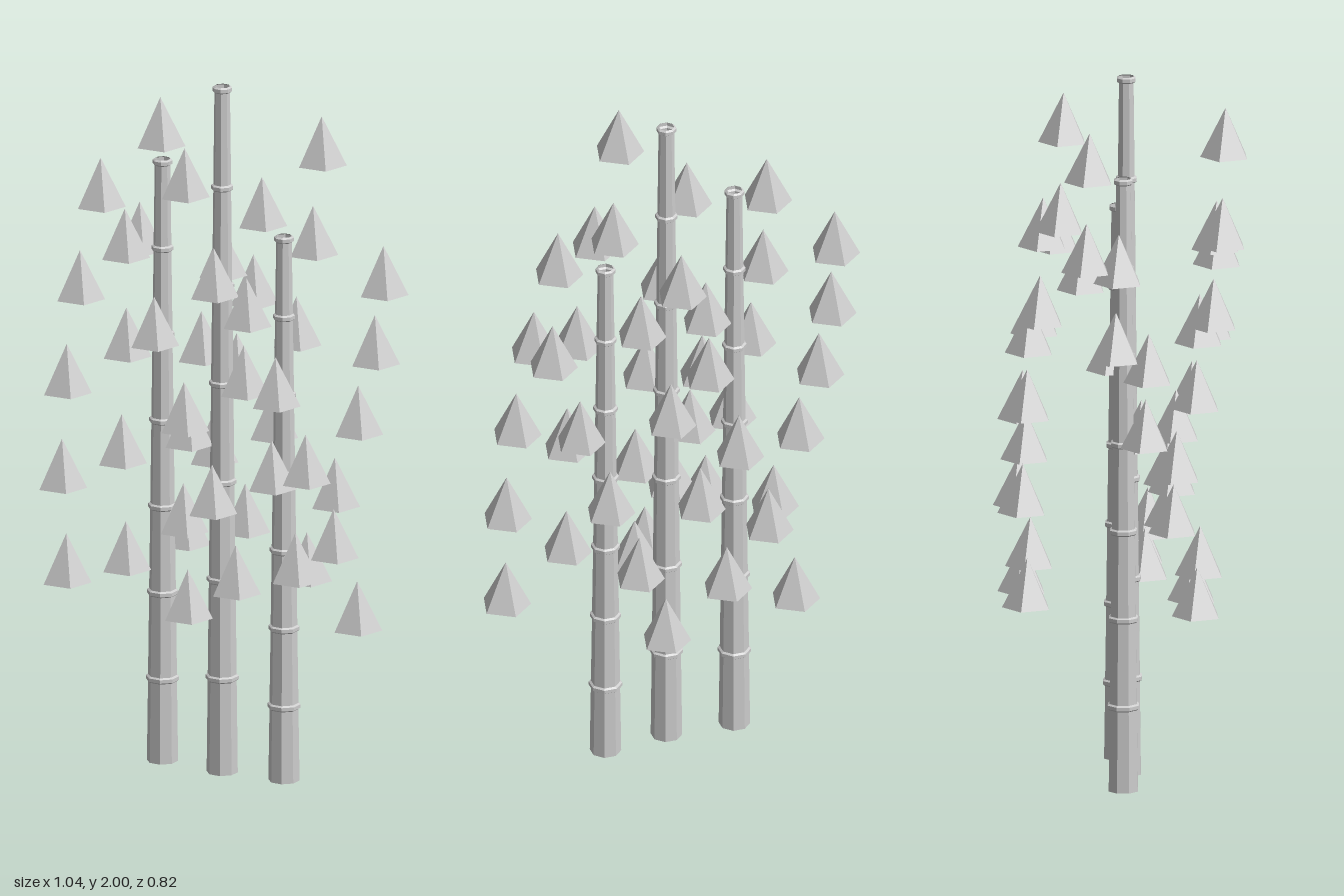
import * as THREE from 'three';

const SEGMENTS = 7;
const STALKS = [
  { name: 'leftmostStalk', x: -0.183, z: -0.067, height: 1.755 },
  { name: 'middleStalk', x: -0.002, z: 0.014, height: 2.0 },
  { name: 'rightmostStalk', x: 0.18, z: 0.064, height: 1.587 },
];

// Tapered eight-sided tube, open at both ends, with a raised ring at the end of every segment
function stalkGeometry(height) {
  const radius = (y) => THREE.MathUtils.lerp(0.044, 0.022, y / height);
  const points = [new THREE.Vector2(radius(0), 0)];
  for (let i = 1; i <= SEGMENTS; i++) {
    const y = (i * height) / SEGMENTS;
    const r = radius(y);
    points.push(
      new THREE.Vector2(r, y - 0.018),
      new THREE.Vector2(r + 0.006, y - 0.014),
      new THREE.Vector2(r + 0.006, y - 0.004),
      new THREE.Vector2(r, y),
    );
  }
  return new THREE.LatheGeometry(points, 8);
}

export function createModel() {
  const model = new THREE.Group();
  model.name = 'bambooCluster';

  const grey = new THREE.MeshStandardMaterial({ color: 0xcccccc, flatShading: true, side: THREE.DoubleSide });
  grey.name = 'plain grey';

  // Five-sided leaf tuft with one corner towards +x
  const leafGeometry = new THREE.ConeGeometry(0.071, 0.14, 5).rotateY(Math.PI / 2);

  for (const { name, x, z, height } of STALKS) {
    const plant = new THREE.Group();
    plant.name = name;
    plant.position.set(x, 0, z);

    const stalk = new THREE.Mesh(stalkGeometry(height), grey);
    stalk.name = 'stalk';
    plant.add(stalk);

    // Three leaves around each upper segment, turning a little with every level
    for (let i = 2; i < SEGMENTS; i++) {
      for (let k = 0; k < 3; k++) {
        const angle = (k * Math.PI * 2) / 3 + i * 0.3;
        const leaf = new THREE.Mesh(leafGeometry, grey);
        leaf.name = 'leaf';
        leaf.position.set(0.28 * Math.cos(angle), (i * height) / SEGMENTS + 0.115, 0.28 * Math.sin(angle));
        plant.add(leaf);
      }
    }
    model.add(plant);
  }
  return model;
}
